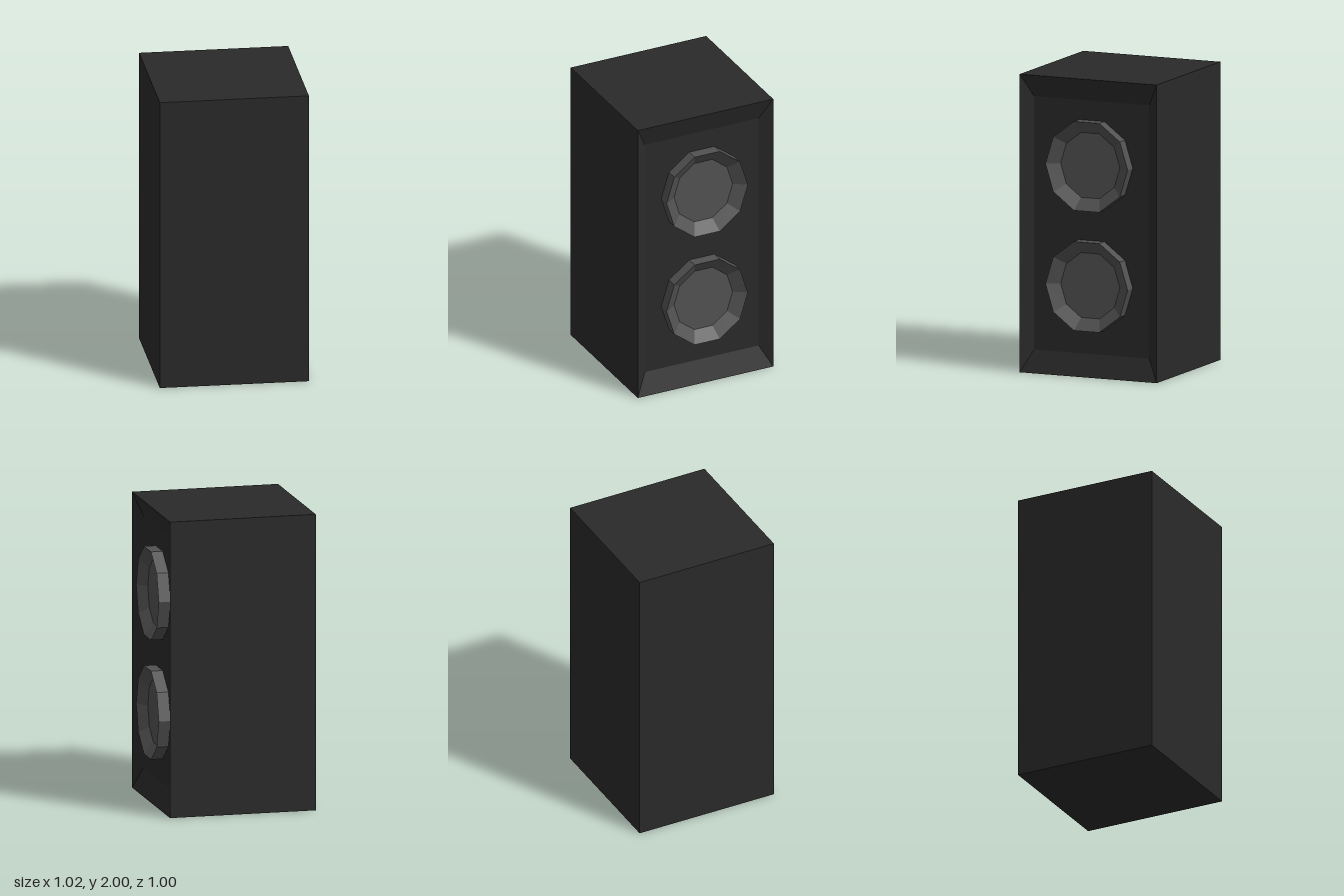
import * as THREE from 'three';

// Closed solid lofted along +x through rings of [x, halfDepth (z), halfHeight (y)].
function loftX(rings, sides, startAngle) {
  const pos = [];
  const point = ([x, rz, ry], i) => {
    const a = startAngle + (i / sides) * Math.PI * 2;
    return [x, Math.sin(a) * ry, -Math.cos(a) * rz];
  };
  const last = rings.length - 1;
  for (let i = 0; i < sides; i++) {
    for (let r = 0; r < last; r++) {
      const a = point(rings[r], i), b = point(rings[r], i + 1);
      const c = point(rings[r + 1], i + 1), d = point(rings[r + 1], i);
      pos.push(...a, ...b, ...c, ...a, ...c, ...d);
    }
    // end caps
    pos.push(rings[0][0], 0, 0, ...point(rings[0], i + 1), ...point(rings[0], i));
    pos.push(rings[last][0], 0, 0, ...point(rings[last], i), ...point(rings[last], i + 1));
  }
  const geo = new THREE.BufferGeometry();
  geo.setAttribute('position', new THREE.Float32BufferAttribute(pos, 3));
  geo.computeVertexNormals();
  return geo;
}

export function createModel() {
  const group = new THREE.Group();
  const cabinetMat = new THREE.MeshStandardMaterial({ color: 0x2a2a2a, flatShading: true });
  const driverMat = new THREE.MeshStandardMaterial({ color: 0x525252, flatShading: true });

  const back = -0.51, face = 0.485, floor = 0.43, rim = 0.51, dish = 0.452;

  // Cabinet: a box whose +x face slopes in to a recessed panel
  const k = Math.SQRT2;
  const cabinet = new THREE.Mesh(
    loftX([[back, 0.5 * k, k], [face, 0.5 * k, k], [floor, 0.42 * k, 0.85 * k]], 4, Math.PI / 4),
    cabinetMat
  );
  cabinet.name = 'cabinet';
  cabinet.position.y = 1;
  group.add(cabinet);

  // Drivers: ten-sided rings with a dished centre, standing on the panel
  const driverGeo = loftX(
    [[floor, 0.3, 0.314], [rim, 0.3, 0.314], [dish, 0.216, 0.229]], 10, 0
  );
  for (const [name, y] of [['upperDriver', 1.418], ['lowerDriver', 0.612]]) {
    const driver = new THREE.Mesh(driverGeo, driverMat);
    driver.name = name;
    driver.position.y = y;
    group.add(driver);
  }
  return group;
}
